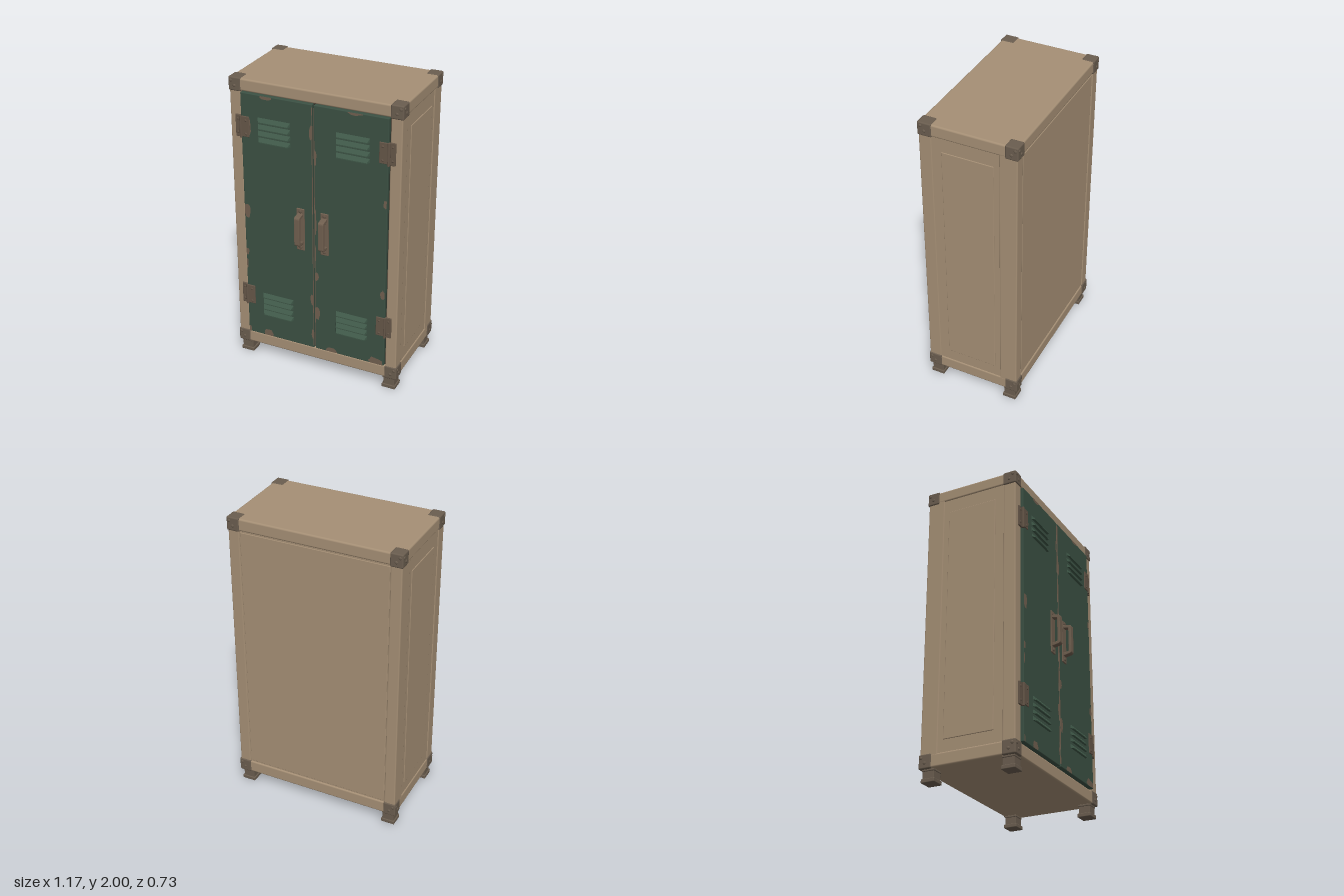
import * as THREE from 'three';
import { RoundedBoxGeometry } from 'three/addons/geometries/RoundedBoxGeometry.js';

const mat = (name, color) => {
  const m = new THREE.MeshStandardMaterial({ color });
  m.name = name;
  return m;
};

export function createModel() {
  const tan = mat('tan paint', 0xa58f75);
  const green = mat('green paint', 0x3b5043);
  const ventGreen = mat('vent green', 0x3f5848);
  const steel = mat('dark steel', 0x6a5d4f);
  const rust = mat('worn metal', 0x705f4f);
  const hinge = mat('hinge metal', 0x655648);
  const dark = mat('dark gap', 0x2c2721);

  const root = new THREE.Group();
  root.name = 'cabinet';
  const group = (name) => {
    const g = new THREE.Group();
    g.name = name;
    root.add(g);
    return g;
  };
  const add = (parent, name, geo, material, x = 0, y = 0, z = 0) => {
    const m = new THREE.Mesh(geo, material);
    m.name = name;
    m.position.set(x, y, z);
    parent.add(m);
    return m;
  };
  // Rounded box given by its limits on each axis
  const block = (parent, name, material, [x0, x1], [y0, y1], [z0, z1], r = 0.004) =>
    add(parent, name, new RoundedBoxGeometry(x1 - x0, y1 - y0, z1 - z0, 2, r), material,
      (x0 + x1) / 2, (y0 + y1) / 2, (z0 + z1) / 2);
  const span = (s, a, b) => (s > 0 ? [a, b] : [-b, -a]);
  // Domed screw head facing +z
  const screw = (parent, x, y, z, r, material) => {
    const geo = new THREE.SphereGeometry(r, 10, 4, 0, Math.PI * 2, 0, Math.PI / 2);
    geo.scale(1, 0.55, 1);
    geo.rotateX(Math.PI / 2);
    return add(parent, 'screw', geo, material, x, y, z);
  };

  // Body: core, top and bottom slabs, corner posts, side and back panels
  const body = group('body');
  block(body, 'core', tan, [-0.57, 0.57], [0.1, 1.98], [-0.346, 0.262], 0.003);
  block(body, 'topSlab', tan, [-0.576, 0.576], [1.915, 1.996], [-0.354, 0.286], 0.012);
  block(body, 'bottomSlab', tan, [-0.576, 0.576], [0.085, 0.172], [-0.354, 0.286], 0.012);
  block(body, 'doorRecess', dark, [-0.5, 0.5], [0.17, 1.917], [0.26, 0.266], 0.001);
  for (const s of [1, -1]) {
    block(body, 'frontPost', tan, span(s, 0.5, 0.575), [0.15, 1.94], [0.2, 0.285], 0.008);
    block(body, 'backPost', tan, span(s, 0.5, 0.575), [0.15, 1.94], [-0.353, -0.235], 0.008);
    block(body, 'sidePanel', tan, span(s, 0.56, 0.574), [0.25, 1.825], [-0.2, 0.14], 0.004);
  }
  block(body, 'backPanel', tan, [-0.495, 0.495], [0.182, 1.905], [-0.35, -0.33], 0.003);

  // Corner brackets with bolts, and feet
  const corners = group('corners');
  const feet = group('feet');
  for (const s of [1, -1]) {
    for (const f of [1, -1]) {
      const z = f > 0 ? [0.198, 0.29] : [-0.36, -0.275];
      const zc = (z[0] + z[1]) / 2;
      for (const [y0, y1] of [[1.91, 2], [0.083, 0.175]]) {
        const yc = (y0 + y1) / 2;
        block(corners, 'cornerBracket', steel, span(s, 0.497, 0.581), [y0, y1], z, 0.009);
        for (const [du, dv] of [[0, -0.01], [0.024, 0.022]]) {
          const end = screw(corners, s * (0.539 + du), yc + dv, f > 0 ? 0.289 : -0.359, 0.011, steel);
          if (f < 0) end.rotation.y = Math.PI;
          const side = screw(corners, s * 0.58, yc + dv, zc + f * du, 0.011, steel);
          side.rotation.y = s * Math.PI / 2;
        }
      }
      const fz = f > 0 ? 0.235 : -0.3;
      const fx = s * 0.524;
      add(feet, 'footColumn', new RoundedBoxGeometry(0.078, 0.075, 0.078, 2, 0.004), steel, fx, 0.056, fz);
      add(feet, 'footCollar', new RoundedBoxGeometry(0.086, 0.014, 0.084, 2, 0.004), steel, fx, 0.078, fz);
      add(feet, 'footPad', new RoundedBoxGeometry(0.094, 0.026, 0.092, 2, 0.005), steel, fx, 0.013, fz);
    }
  }

  // Louvre slat: a hood sloping outwards to its lower lip, with tapered ends
  const hood = new THREE.Shape();
  hood.moveTo(0, 0.018);
  hood.lineTo(0.021, -0.006);
  hood.lineTo(0.021, -0.012);
  hood.lineTo(0, -0.008);
  hood.closePath();
  const slat = new THREE.ExtrudeGeometry(hood, { depth: 0.224, bevelEnabled: false });
  slat.translate(0, 0, -0.112);
  slat.rotateY(-Math.PI / 2);
  const sp = slat.attributes.position;
  for (let i = 0; i < sp.count; i++) sp.setX(i, sp.getX(i) * (1 - sp.getZ(i) * 5));
  slat.computeVertexNormals();

  // Handle grip: bent flat bar, extruded across x
  const bar = new THREE.Shape();
  bar.moveTo(0, -0.108);
  bar.lineTo(0.044, -0.1);
  bar.quadraticCurveTo(0.056, -0.098, 0.056, -0.085);
  bar.lineTo(0.056, 0.085);
  bar.quadraticCurveTo(0.056, 0.098, 0.044, 0.1);
  bar.lineTo(0, 0.108);
  bar.lineTo(0, 0.092);
  bar.lineTo(0.036, 0.086);
  bar.quadraticCurveTo(0.042, 0.085, 0.042, 0.078);
  bar.lineTo(0.042, -0.078);
  bar.quadraticCurveTo(0.042, -0.085, 0.036, -0.086);
  bar.lineTo(0, -0.092);
  bar.closePath();
  const grip = new THREE.ExtrudeGeometry(bar, {
    depth: 0.03, bevelEnabled: true, bevelSize: 0.003, bevelThickness: 0.004, bevelSegments: 2, curveSegments: 6,
  });
  grip.translate(0, 0, -0.015);
  grip.rotateY(-Math.PI / 2);

  // Doors with louvres, handles and hinges
  for (const s of [1, -1]) {
    const door = group(s > 0 ? 'leftDoor' : 'rightDoor');
    block(door, 'doorPanel', green, span(s, 0.005, 0.495), [0.178, 1.914], [0.268, 0.3], 0.006);
    for (const y0 of [0.36, 1.618]) {
      for (let i = 0; i < 4; i++) {
        add(door, 'louvre', slat, ventGreen, s * 0.265, y0 + i * 0.044, 0.299);
      }
    }

    const hx = s > 0 ? 0.077 : -0.09;
    block(door, 'handlePlate', rust, [hx - 0.028, hx + 0.028], [0.905, 1.202], [0.296, 0.307], 0.005);
    add(door, 'handleGrip', grip, rust, hx, 1.06, 0.303);
    for (const y of [0.928, 1.182]) screw(door, hx, y, 0.306, 0.012, hinge);

    for (const y of [0.475, 1.688]) {
      block(door, 'hingeDoorLeaf', hinge, span(s, 0.437, 0.495), [y - 0.066, y + 0.072], [0.297, 0.306], 0.004);
      block(door, 'hingeFrameLeaf', hinge, span(s, 0.495, 0.538), [y - 0.076, y + 0.072], [0.282, 0.294], 0.004);
      add(door, 'hingeBarrel', new THREE.CylinderGeometry(0.009, 0.009, 0.148, 12), hinge, s * 0.497, y - 0.002, 0.3);
      for (const d of [-0.045, 0.045]) {
        screw(door, s * 0.46, y + d, 0.305, 0.009, hinge);
        screw(door, s * 0.52, y + d, 0.293, 0.008, hinge);
      }
    }
  }

  // Chipped paint: thin irregular patches cut off at the door edges
  let seed = 7;
  const rand = () => (seed = (seed * 16807) % 2147483647) / 2147483647;
  const chips = group('paintChips');
  const chip = (x, y, w, h) => {
    const s = Math.sign(x);
    const pts = [];
    for (let i = 0; i < 12; i++) {
      const a = (i / 12) * Math.PI * 2;
      const r = 0.8 + 0.35 * rand();
      const px = THREE.MathUtils.clamp(Math.abs(x) + Math.cos(a) * r * w / 2, 0.008, 0.492);
      const py = THREE.MathUtils.clamp(y + Math.sin(a) * r * h / 2, 0.181, 1.911);
      pts.push(new THREE.Vector2(s * px, py));
    }
    add(chips, 'paintChip', new THREE.ShapeGeometry(new THREE.Shape(pts)), rust, 0, 0, 0.3012);
  };
  const spots = [
    [-0.32, 1.91, 0.09, 0.04], [0.28, 1.91, 0.1, 0.03], [-0.475, 1.1, 0.05, 0.1],
    [-0.485, 0.8, 0.03, 0.05], [-0.49, 0.71, 0.02, 0.08], [-0.345, 0.195, 0.07, 0.07],
    [0.12, 0.19, 0.08, 0.05], [0.44, 0.195, 0.11, 0.07], [0.02, 0.45, 0.04, 0.1],
    [0.485, 1.35, 0.03, 0.06], [0.48, 0.71, 0.035, 0.07], [0.012, 1.57, 0.025, 0.1],
    [0.018, 0.73, 0.03, 0.06], [-0.012, 1.73, 0.025, 0.1], [-0.015, 0.55, 0.025, 0.08],
    [0.012, 1.12, 0.016, 0.2], [-0.45, 1.7, 0.05, 0.13], [-0.012, 0.28, 0.02, 0.08],
    [-0.49, 0.2, 0.03, 0.06], [0.01, 0.9, 0.014, 0.14],
  ];
  for (const c of spots) chip(...c);
  // Worn lines along the meeting edges of the doors
  for (const s of [1, -1]) {
    add(chips, 'wornEdge', new THREE.BoxGeometry(0.004, 1.7, 0.004), rust, s * 0.007, 1.046, 0.2985);
  }
  return root;
}
